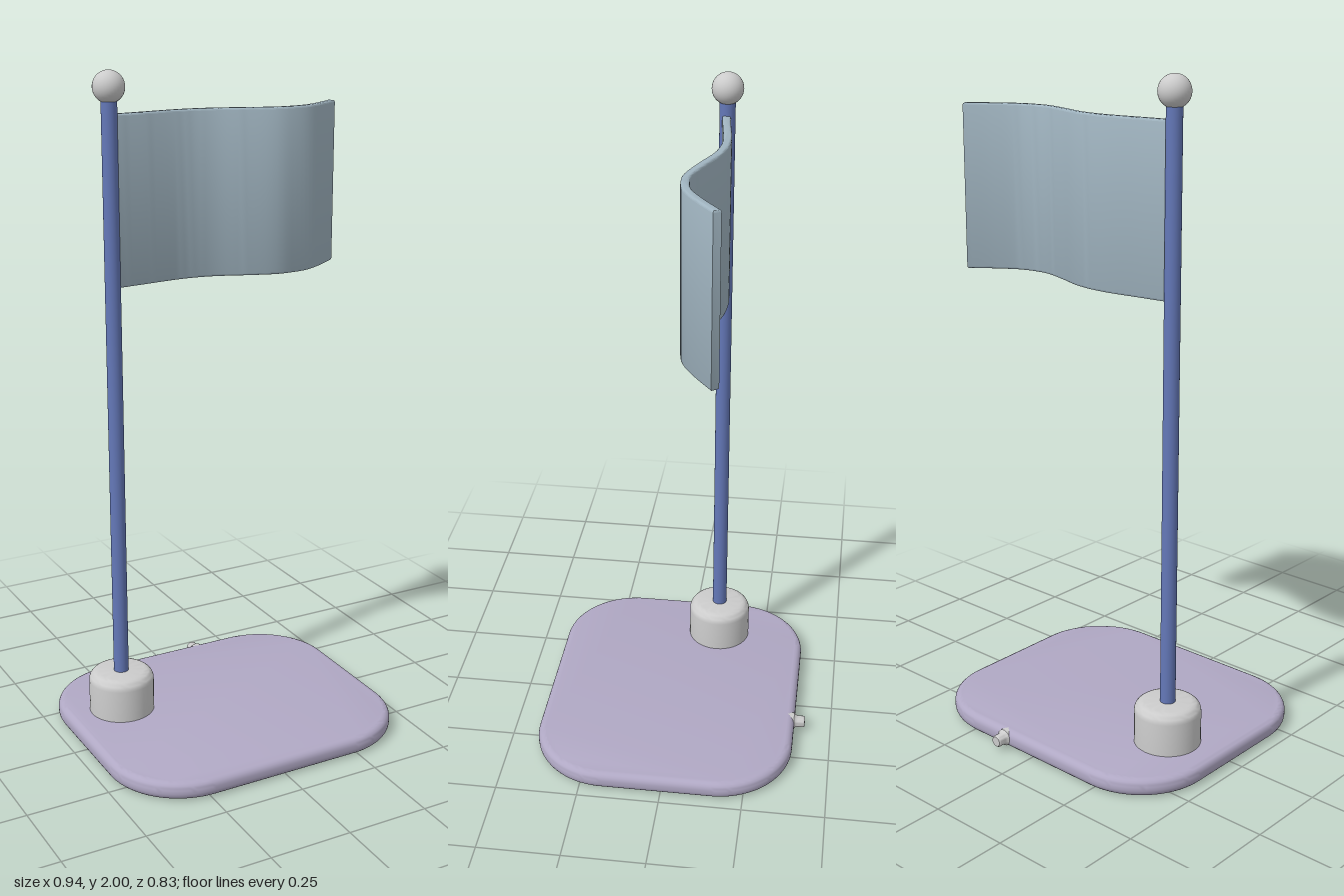
import * as THREE from 'three';
import { toCreasedNormals } from 'three/addons/utils/BufferGeometryUtils.js';

const POLE_X = -0.295, POLE_Z = -0.1;

function mesh(name, geometry, color = 0xcccccc) {
  const m = new THREE.Mesh(geometry, new THREE.MeshStandardMaterial({ color }));
  m.name = name;
  return m;
}

// Extrudes a plan outline (x, -z) upward from y0 to y1 with rounded rims
function slab(shape, y0, y1, bevel, segments, curveSegments) {
  const g = new THREE.ExtrudeGeometry(shape, {
    depth: y1 - y0 - 2 * bevel, bevelThickness: bevel, bevelSize: bevel,
    bevelOffset: -bevel, bevelSegments: segments, curveSegments,
  });
  g.rotateX(-Math.PI / 2).translate(0, y0 + bevel, 0);
  return toCreasedNormals(g, 0.7);
}

function roundedRect(hx, hz, r) {
  const s = new THREE.Shape();
  s.absarc(hx - r, hz - r, r, 0, Math.PI / 2);
  s.absarc(-hx + r, hz - r, r, Math.PI / 2, Math.PI);
  s.absarc(-hx + r, -hz + r, r, Math.PI, Math.PI * 1.5);
  s.absarc(hx - r, -hz + r, r, Math.PI * 1.5, Math.PI * 2);
  s.closePath();
  return s;
}

// Lathe from a profile of [radius, height] pairs
function lathe(points, segments) {
  const g = new THREE.LatheGeometry(points.map(([r, y]) => new THREE.Vector2(r, y)), segments);
  return toCreasedNormals(g, 0.7);
}

// Waving cloth outline: a centre line thickened to both sides
function clothShape(thickness) {
  const path = new THREE.SplineCurve([
    [-0.285, -0.098], [-0.2, -0.108], [-0.07, -0.122], [0.03, -0.112], [0.12, -0.08],
    [0.2, -0.053], [0.25, -0.048], [0.32, -0.06], [0.39, -0.1], [0.461, -0.152],
  ].map(([x, z]) => new THREE.Vector2(x, -z)));
  const near = [], far = [];
  for (let i = 0; i <= 48; i++) {
    const p = path.getPointAt(i / 48), t = path.getTangentAt(i / 48);
    const n = new THREE.Vector2(-t.y, t.x).multiplyScalar(thickness / 2);
    near.push(p.clone().sub(n));
    far.unshift(p.clone().add(n));
  }
  return new THREE.Shape([...near, ...far]);
}

export function createModel() {
  const model = new THREE.Group();
  model.name = 'flagOnStand';

  // Base plate with a soft rim
  const base = mesh('base', slab(roundedRect(0.467, 0.4, 0.23), 0, 0.055, 0.022, 5, 16), 0xb0a8c4);
  base.position.z = 0.015;

  // Collar that holds the pole
  const collarProfile = [[0, 0.045], [0.1, 0.045], [0.1, 0.155]];
  for (let i = 1; i <= 6; i++) {
    const a = (i / 6) * Math.PI / 2;
    collarProfile.push([0.07 + 0.03 * Math.cos(a), 0.155 + 0.03 * Math.sin(a)]);
  }
  collarProfile.push([0, 0.185]);
  const collar = mesh('collar', lathe(collarProfile, 40));
  collar.position.set(POLE_X, 0, POLE_Z);

  // Pole and ball finial
  const pole = mesh('pole', new THREE.CylinderGeometry(0.023, 0.023, 1.87, 24), 0x6478b8);
  pole.position.set(POLE_X, 0.985, POLE_Z);
  const finial = mesh('finial', new THREE.SphereGeometry(0.046, 32, 20));
  finial.position.set(POLE_X, 1.954, POLE_Z);

  // Waving flag
  const flag = mesh('flag', slab(clothShape(0.024), 1.39, 1.88, 0.006, 3, 12), 0xa0b4c0);

  // Small flared peg on the back rim
  const peg = mesh('peg', lathe([
    [0.026, -0.02], [0.025, 0], [0.02, 0.005], [0.018, 0.012], [0.018, 0.03], [0.015, 0.034], [0, 0.034],
  ], 20));
  peg.rotation.x = -Math.PI / 2;
  peg.position.set(0.11, 0.029, -0.384);

  model.add(base, collar, pole, finial, flag, peg);
  return model;
}
